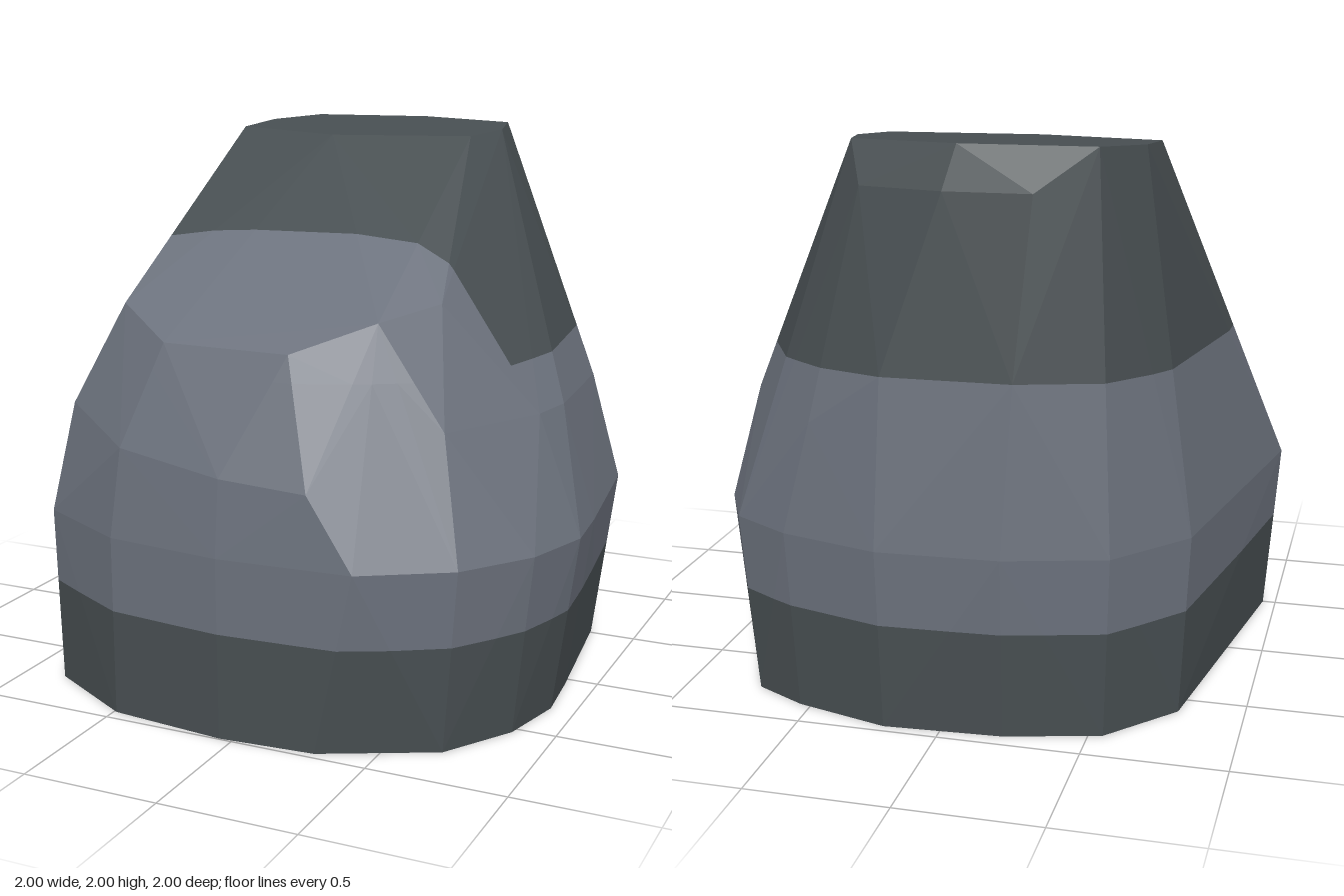
import * as THREE from 'three';
import { ConvexGeometry } from 'three/addons/geometries/ConvexGeometry.js';

// Rings of the boulder as [x, z] pairs, clockwise from the back
const foot = [[-0.55, -0.85], [-0.22, -0.94], [0.2, -0.965], [0.54, -0.87], [0.73, -0.77], [0.82, -0.52],
  [0.89, 0.05], [0.91, 0.28], [0.85, 0.53], [0.69, 0.78], [0.3, 0.97], [-0.05, 0.995], [-0.49, 0.95],
  [-0.84, 0.75], [-0.95, 0.5], [-0.77, -0.6]];
const belly = [[-0.57, -0.88], [-0.22, -0.98], [0.21, -1], [0.57, -0.9], [0.79, -0.77], [0.9, -0.55],
  [0.98, 0.05], [1, 0.28], [0.92, 0.54], [0.74, 0.79], [0.44, 0.97], [-0.05, 1], [-0.49, 0.95],
  [-0.86, 0.75], [-1, 0.5], [-0.8, -0.6]];
const crown = [[-0.63, -0.36], [-0.62, -0.6], [-0.5, -0.79], [-0.04, -0.83], [0.35, -0.73],
  [0.4, -0.52], [0.35, -0.31], [-0.18, -0.22]];
// Shoulder corners as [x, y, z]
const shoulders = [
  [-0.6, 1.42, 0.63], [-0.34, 1.33, 0.81], [0.14, 1.33, 0.82], [0.4, 1.43, 0.67], [0.54, 1.47, 0.45],
  [-0.79, 1.05, 0.69], [-0.46, 0.97, 0.92], [-0.05, 0.92, 0.97], [0.27, 0.9, 0.96], [0.64, 1.08, 0.67],
  [0.87, 1.08, 0.1], [0.84, 1.08, 0.28], [0.8, 1.06, -0.5], [0.66, 1.05, -0.74], [0.47, 1.05, -0.89],
  [0.2, 1.24, -0.94], [-0.25, 1.24, -0.93], [0, 1.85, -0.87], [-0.3, 1.85, -0.86], [0.3, 1.85, -0.81],
];

// Splits polygons by the plane axis = level, into those above and below
function split(polygons, axis, level) {
  const above = [], below = [];
  for (const poly of polygons) {
    const up = [], down = [];
    poly.forEach((a, i) => {
      const b = poly[(i + 1) % poly.length];
      const da = a[axis] - level, db = b[axis] - level;
      if (da >= 0) up.push(a);
      if (da <= 0) down.push(a);
      if (da * db < 0) {
        const cut = a.clone().lerp(b, da / (da - db));
        up.push(cut);
        down.push(cut);
      }
    });
    if (up.length > 2) above.push(up);
    if (down.length > 2) below.push(down);
  }
  return [above, below];
}

// Turns polygons into a flat shaded mesh
function facets(name, polygons, material) {
  const points = [];
  for (const p of polygons) {
    for (let i = 1; i < p.length - 1; i++) points.push(p[0], p[i], p[i + 1]);
  }
  const geometry = new THREE.BufferGeometry().setFromPoints(points);
  geometry.computeVertexNormals();
  const mesh = new THREE.Mesh(geometry, material);
  mesh.name = name;
  return mesh;
}

export function createModel() {
  const group = new THREE.Group();
  group.name = 'boulder';
  const paleStone = new THREE.MeshStandardMaterial({ color: 0x6c727d });
  paleStone.name = 'pale stone';
  const darkStone = new THREE.MeshStandardMaterial({ color: 0x484f52 });
  darkStone.name = 'dark stone';

  // Whole faceted stone
  const corners = [
    ...foot.map(([x, z]) => new THREE.Vector3(x, 0, z)),
    ...belly.map(([x, z]) => new THREE.Vector3(x, 0.65, z)),
    ...shoulders.map((p) => new THREE.Vector3(...p)),
    ...crown.map(([x, z]) => new THREE.Vector3(x, 1.952 - 0.058 * z, z)),
  ];
  const position = new ConvexGeometry(corners).getAttribute('position');
  const triangles = [];
  for (let i = 0; i < position.count; i += 3) {
    triangles.push([0, 1, 2].map((k) => new THREE.Vector3().fromBufferAttribute(position, i + k)));
  }

  // Dark foot, pale middle and dark rear peak
  const [upper, base] = split(triangles, 'y', 0.38);
  const [top, middle] = split(upper, 'y', 1.24);
  const [brow, peak] = split(top, 'z', 0.28);
  group.add(
    facets('base', base, darkStone),
    facets('middle', middle, paleStone),
    facets('brow', brow, paleStone),
    facets('peak', peak, darkStone),
  );
  return group;
}
